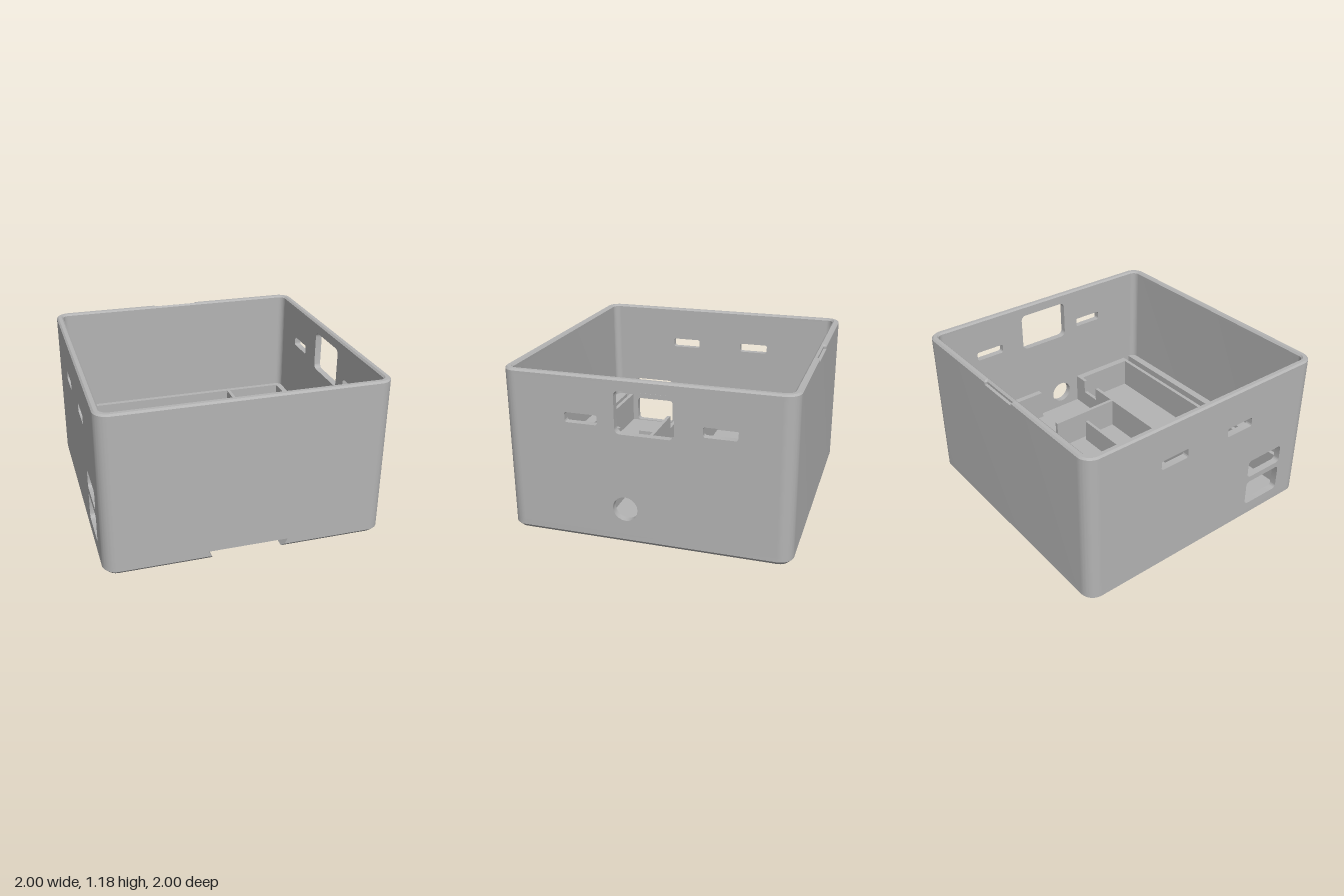
import * as THREE from 'three';
import { toCreasedNormals } from 'three/addons/utils/BufferGeometryUtils.js';

const WALL_BASE = 0.07, RIM = 1.15, FLOOR = 0.12, LEDGE = 0.36, INNER = 0.95;
const Q = Math.PI / 2;

// Rounded rectangle path, counter-clockwise
function roundRect(x0, x1, y0, y1, r, P = THREE.Path) {
  const p = new P();
  p.moveTo(x0 + r, y0);
  p.absarc(x1 - r, y0 + r, r, -Q, 0);
  p.absarc(x1 - r, y1 - r, r, 0, Q);
  p.absarc(x0 + r, y1 - r, r, Q, 2 * Q);
  p.absarc(x0 + r, y0 + r, r, 2 * Q, 3 * Q);
  return p;
}

const smooth = (g) => toCreasedNormals(g.index ? g.toNonIndexed() : g, 0.6);

// Plan shape (x, -z) raised upwards from y
function raise(shape, y, depth, bevel = 0) {
  const g = new THREE.ExtrudeGeometry(shape, {
    depth, curveSegments: 10, bevelEnabled: bevel > 0, bevelSegments: 1,
    bevelSize: bevel, bevelThickness: bevel, bevelOffset: -bevel,
  });
  return smooth(g.rotateX(-Q).translate(0, y, 0));
}

// Plan outline of the base (x, -z) with a slot of half width g open to the front
function baseOutline(inset, g) {
  const h = 1 - inset, r = 0.1 - inset, end = 0.7, pts = [[g, -h]];
  [[1, -1], [1, 1], [-1, 1], [-1, -1]].forEach(([sx, sy], k) => {
    for (let i = 0; i <= 10; i++) {
      const a = (k - 1 + i / 10) * Q;
      pts.push([sx * 0.9 + r * Math.cos(a), sy * 0.9 + r * Math.sin(a)]);
    }
  });
  pts.push([-g, -h], [-g, end], [g, end]);
  return pts.map(([x, y]) => new THREE.Vector2(x, y));
}

// Chamfered base with the dovetail channel, lofted through three levels
function baseGeometry() {
  const levels = [[0, 0.03, 0.25], [0.03, 0, 0.265], [WALL_BASE, 0, 0.285]];
  const loops = levels.map(([y, inset, g]) => ({ y, pts: baseOutline(inset, g) }));
  const n = loops[0].pts.length, pos = [], idx = [];
  loops.forEach(({ y, pts }) => pts.forEach((p) => pos.push(p.x, y, -p.y)));
  for (let l = 0; l < 2; l++) {
    for (let i = 0; i < n; i++) {
      const a = l * n + i, b = l * n + ((i + 1) % n);
      idx.push(a, b, b + n, a, b + n, a + n);
    }
  }
  THREE.ShapeUtils.triangulateShape(loops[0].pts, []).forEach(([a, b, c]) => idx.push(a, c, b));
  const g = new THREE.BufferGeometry();
  g.setAttribute('position', new THREE.Float32BufferAttribute(pos, 3));
  g.setIndex(idx);
  return smooth(g);
}

// End wall with both of its rounded corners
function endWallGeometry() {
  const s = new THREE.Shape();
  s.moveTo(1, 0.9);
  s.absarc(0.9, 0.9, 0.1, 0, Q);
  s.absarc(-0.9, 0.9, 0.1, Q, 2 * Q);
  s.lineTo(-INNER, 0.9);
  s.absarc(-0.9, 0.9, 0.05, 2 * Q, Q, true);
  s.absarc(0.9, 0.9, 0.05, Q, 0, true);
  s.closePath();
  return raise(s, WALL_BASE, RIM - WALL_BASE);
}

// Flat side wall with cut-outs; the shape's horizontal axis is -z
function sideWallGeometry(holes, x) {
  const s = new THREE.Shape();
  s.moveTo(-0.9, WALL_BASE);
  s.lineTo(0.9, WALL_BASE);
  s.lineTo(0.9, RIM);
  s.lineTo(-0.9, RIM);
  s.closePath();
  s.holes.push(...holes);
  const g = new THREE.ExtrudeGeometry(s, { depth: 0.05, bevelEnabled: false, curveSegments: 10 });
  return smooth(g.rotateY(Q).translate(x, 0, 0));
}
const cut = (z0, z1, y0, y1, r) => roundRect(-z1, -z0, y0, y1, r);

// Top rim with bevelled edges and a shallow catch notch at the back
function rimGeometry() {
  const s = new THREE.Shape();
  s.moveTo(-0.9, -1);
  s.absarc(0.9, -0.9, 0.1, -Q, 0);
  s.absarc(0.9, 0.9, 0.1, 0, Q);
  s.lineTo(0.16, 1);
  s.lineTo(0.16, 0.978);
  s.lineTo(-0.17, 0.978);
  s.lineTo(-0.17, 1);
  s.absarc(-0.9, 0.9, 0.1, Q, 2 * Q);
  s.absarc(-0.9, -0.9, 0.1, 2 * Q, 3 * Q);
  s.holes.push(roundRect(-INNER, INNER, -INNER, INNER, 0.05));
  return raise(s, RIM, 0.018, 0.012);
}

export function createModel() {
  const group = new THREE.Group();
  const grey = new THREE.MeshStandardMaterial({ color: 0xb4b4b4 });
  grey.name = 'plain grey';
  const add = (name, geometry) => {
    const m = new THREE.Mesh(geometry, grey);
    m.name = name;
    group.add(m);
    return m;
  };

  // Shell
  add('base', baseGeometry());
  const endWall = endWallGeometry();
  add('backWall', endWall);
  add('frontWall', endWall).rotation.y = Math.PI;
  const circle = new THREE.Path();
  circle.absarc(-0.14, 0.26, 0.088, 0, Math.PI * 2);
  add('leftWall', sideWallGeometry([
    cut(-0.21, 0.2, 0.8, 1.1, 0.04),
    cut(0.32, 0.55, 0.845, 0.915, 0.015),
    cut(-0.63, -0.4, 0.845, 0.915, 0.015),
    circle,
  ], INNER));
  add('rightWall', sideWallGeometry([
    cut(0.18, 0.41, 0.845, 0.915, 0.015),
    cut(-0.41, -0.18, 0.845, 0.915, 0.015),
    cut(0.43, 0.76, 0.375, 0.52, 0.03),
    cut(0.43, 0.76, 0.125, 0.33, 0.03),
  ], -1));
  add('rim', rimGeometry());

  // Floor in two layers; the lower one has the latch recess
  const plan = () => roundRect(-INNER, INNER, -INNER, INNER, 0.05, THREE.Shape);
  const lower = plan();
  lower.holes.push(roundRect(-0.11, 0.11, -0.87, -0.82, 0.012));
  add('channelCeiling', raise(lower, WALL_BASE, 0.03));
  add('floor', raise(plan(), 0.1, FLOOR - 0.1));

  // Ledges and partitions standing on the floor: name, x range, z range, top
  const low = 0.25;
  [
    ['backLedge', -0.955, 0.955, -0.955, -0.91, LEDGE],
    ['rightLedge', -0.955, -0.905, -0.91, 0.31, LEDGE],
    ['leftLedge', 0.905, 0.955, -0.91, -0.09, LEDGE],
    ['leftFrontLedge', 0.895, 0.955, 0.335, 0.805, LEDGE],
    ['frontLedgeRight', -0.955, -0.16, 0.865, 0.955, LEDGE],
    ['frontLedgeLeft', -0.13, 0.955, 0.89, 0.955, LEDGE],
    ['frontPartition', -0.955, 0.955, 0.805, 0.835, LEDGE],
    ['lowDivider', -0.91, 0.4, 0, 0.025, 0.3],
    ['longPartition', 0.44, 0.467, -0.91, -0.41, LEDGE],
    ['longPartition', 0.44, 0.467, -0.25, 0.31, LEDGE],
    ['longPartitionNotch', 0.44, 0.467, -0.41, -0.25, low],
    ['crossPartition', -0.955, -0.68, 0.308, 0.335, LEDGE],
    ['crossPartition', -0.51, 0.675, 0.308, 0.335, LEDGE],
    ['crossPartition', 0.835, 0.955, 0.308, 0.335, LEDGE],
    ['crossPartitionNotch', -0.68, -0.51, 0.308, 0.335, low],
    ['crossPartitionNotch', 0.675, 0.835, 0.308, 0.335, low],
    ['shortPartition', -0.16, -0.13, 0.335, 0.45, LEDGE],
    ['shortPartition', -0.16, -0.13, 0.62, 0.955, LEDGE],
    ['shortPartitionNotch', -0.16, -0.13, 0.45, 0.62, low],
  ].forEach(([name, x0, x1, z0, z1, top]) => {
    const h = top - FLOOR + 0.01;
    add(name, new THREE.BoxGeometry(x1 - x0, h, z1 - z0))
      .position.set((x0 + x1) / 2, top - h / 2, (z0 + z1) / 2);
  });

  return group;
}
